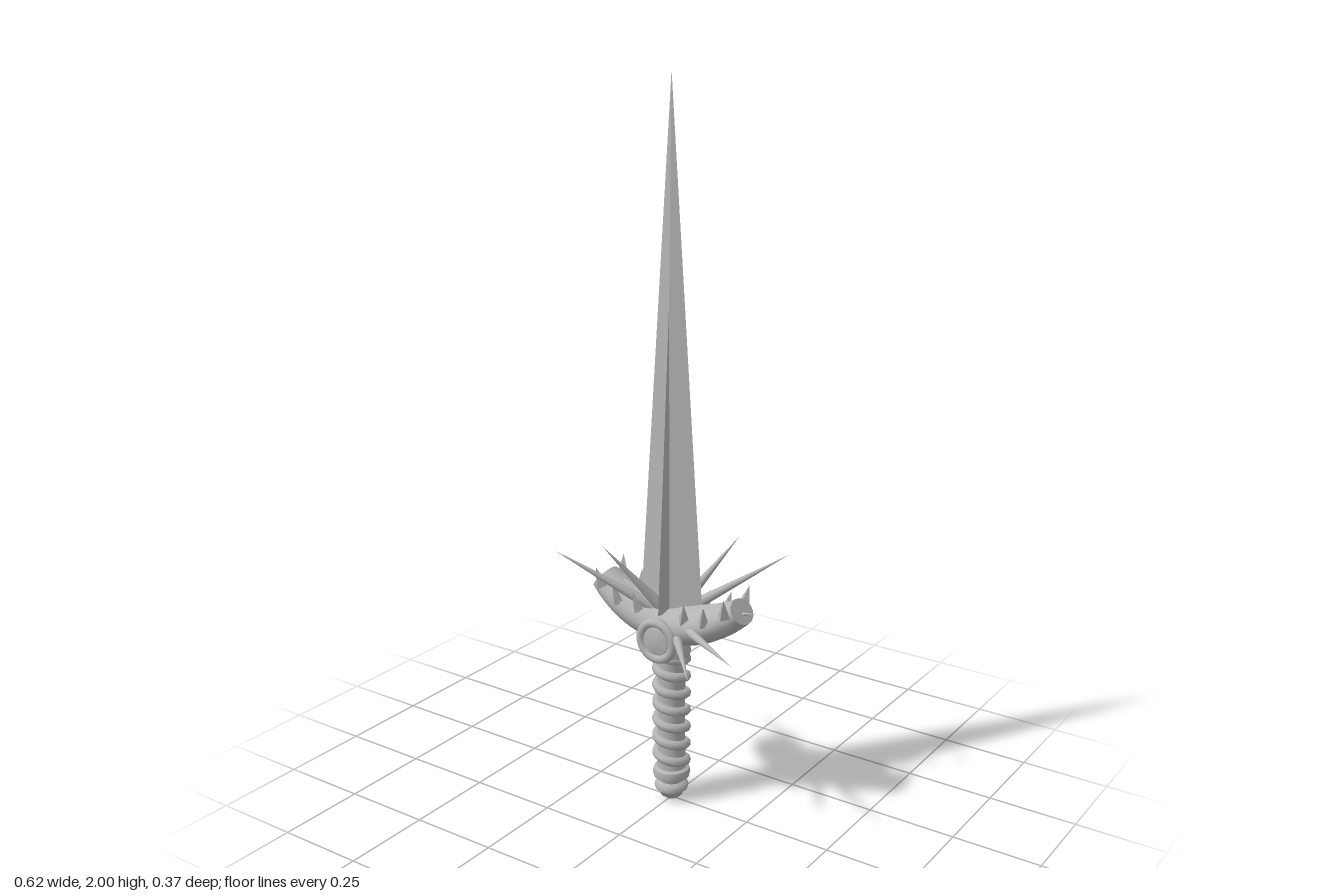
import * as THREE from 'three';
import { toCreasedNormals } from 'three/addons/utils/BufferGeometryUtils.js';

const steel = new THREE.MeshStandardMaterial({ color: 0xb4b4b4 });
steel.name = 'steel';
const V = (x, y, z) => new THREE.Vector3(x, y, z);

function add(parent, name, geometry) {
  const mesh = new THREE.Mesh(geometry, steel);
  mesh.name = name;
  parent.add(mesh);
  return mesh;
}

// Cone running from a base point to a tip
function spike(parent, name, base, tip, radius, sides, crease) {
  const dir = tip.clone().sub(base);
  const cone = new THREE.ConeGeometry(radius, dir.length(), sides);
  const mesh = add(parent, name, toCreasedNormals(cone, crease));
  mesh.position.copy(base).add(tip).multiplyScalar(0.5);
  mesh.quaternion.setFromUnitVectors(V(0, 1, 0), dir.normalize());
}

// Four-sided tapering blade with a diamond section
function diamondBlade(parent, name, halfX, halfZ, y0, y1) {
  const geo = new THREE.ConeGeometry(1, y1 - y0, 4);
  geo.scale(halfX, 1, halfZ);
  geo.translate(0, (y0 + y1) / 2, 0);
  add(parent, name, toCreasedNormals(geo, 0.02));
}

// Curve of the guard: height at x
const CURVE = 0.085 / (0.225 * 0.225);
const guardY = x => 0.535 + CURVE * x * x;

// Elliptical section swept along the guard curve, closed at both ends
function sweepGuard(reach, lift, halfHeight, halfDepth, sides) {
  const steps = 24, pos = [], index = [];
  const us = [-1, -1];
  for (let i = 0; i <= steps; i++) us.push(-1 + 2 * i / steps);
  us.push(1, 1);
  us.forEach((u, i) => {
    const x = u * reach, slope = 2 * CURVE * x, len = Math.hypot(1, slope);
    const k = i === 0 || i === us.length - 1 ? 0 : 1;
    for (let j = 0; j < sides; j++) {
      const a = j / sides * Math.PI * 2;
      const h = lift(Math.abs(u)) + k * halfHeight(Math.abs(u)) * Math.cos(a);
      pos.push(x - slope / len * h, guardY(x) + h / len, k * halfDepth(Math.abs(u)) * Math.sin(a));
    }
  });
  for (let i = 0; i < us.length - 1; i++) {
    for (let j = 0; j < sides; j++) {
      const a = i * sides + j, b = i * sides + (j + 1) % sides;
      index.push(a, b, a + sides, b, b + sides, a + sides);
    }
  }
  const geo = new THREE.BufferGeometry();
  geo.setAttribute('position', new THREE.Float32BufferAttribute(pos, 3));
  geo.setIndex(index);
  return toCreasedNormals(geo, 0.8);
}

// Spiral path of the grip wrap
class Helix extends THREE.Curve {
  getPoint(t, target = new THREE.Vector3()) {
    const a = t * Math.PI * 2 * 6.5;
    return target.set(0.041 * Math.sin(a), 0.445 - 0.335 * t, 0.041 * Math.cos(a));
  }
}

export function createModel() {
  const root = new THREE.Group();
  root.name = 'sword';

  // Blade: broad diamond crossed by a shorter ridge
  const blade = new THREE.Group();
  blade.name = 'blade';
  root.add(blade);
  diamondBlade(blade, 'broadBlade', 0.101, 0.028, 0.575, 2);
  diamondBlade(blade, 'crossRidge', 0.018, 0.064, 0.575, 1.6);

  // Crescent guard with a raised bar along its top
  const guard = new THREE.Group();
  guard.name = 'guard';
  root.add(guard);
  add(guard, 'crescent', sweepGuard(0.225, () => 0,
    u => 0.055 - 0.018 * u * u, u => 0.073 - 0.027 * u ** 3, 16));
  add(guard, 'topBar', sweepGuard(0.18, u => 0.05 - 0.016 * u * u,
    () => 0.012, u => 0.026 - 0.016 * u, 8));

  // Teeth on both rims and a needle at each end
  for (const sx of [-1, 1]) {
    spike(guard, 'endNeedle', V(sx * 0.215, 0.61, 0), V(sx * 0.265, 0.622, 0), 0.007, 6, 0.8);
    for (const sz of [-1, 1]) {
      for (const [x, z] of [[0.2, 0.049], [0.14, 0.054], [0.075, 0.05]]) {
        const y = guardY(x) + 0.012 + (x < 0.1 ? 0.015 : 0);
        spike(guard, 'tooth', V(sx * x, y, sz * z),
          V(sx * (x + 0.008), y + 0.056, sz * (z + 0.016)), 0.019, 4, 0.1);
      }
    }
  }

  // Long thorns, repeated with a half turn
  const thorns = new THREE.Group();
  thorns.name = 'thorns';
  root.add(thorns);
  const tips = [[0.31, 0.555, 0.187], [0.27, 0.738, -0.166], [0.13, 0.77, -0.136], [0.18, 0.475, 0.187]];
  for (const s of [-1, 1]) {
    for (const [x, y, z] of tips) {
      spike(thorns, 'thorn', V(0, 0.55, 0), V(s * x, y, s * z), 0.02, 10, 0.8);
    }
  }

  // Round medallions on front and back
  for (const s of [1, -1]) {
    const medallion = new THREE.Group();
    medallion.name = s > 0 ? 'frontMedallion' : 'backMedallion';
    medallion.position.y = 0.505;
    medallion.rotation.y = s > 0 ? 0 : Math.PI;
    const rim = add(medallion, 'rim', new THREE.TorusGeometry(0.052, 0.013, 10, 28));
    rim.position.z = 0.071;
    const profile = [[0.054, 0.045], [0.054, 0.069], [0.042, 0.07], [0.039, 0.078], [0.02, 0.083], [0, 0.084]];
    const disc = add(medallion, 'disc', toCreasedNormals(
      new THREE.LatheGeometry(profile.map(p => new THREE.Vector2(...p)), 28), 0.6));
    disc.rotation.x = Math.PI / 2;
    root.add(medallion);
  }

  // Handle: core, spiral wrap and pommel
  const handle = new THREE.Group();
  handle.name = 'handle';
  root.add(handle);
  const core = [[0, 0], [0.018, 0.002], [0.031, 0.012], [0.036, 0.026], [0.046, 0.032], [0.048, 0.042],
    [0.043, 0.051], [0.034, 0.056], [0.036, 0.064], [0.05, 0.07], [0.053, 0.082], [0.05, 0.095],
    [0.041, 0.1], [0.038, 0.2], [0.038, 0.43], [0.05, 0.438], [0.054, 0.452], [0.05, 0.47], [0.045, 0.5]];
  add(handle, 'gripAndPommel', toCreasedNormals(
    new THREE.LatheGeometry(core.map(p => new THREE.Vector2(...p)), 20), 0.8));
  add(handle, 'wrap', new THREE.TubeGeometry(new Helix(), 156, 0.0135, 8));

  return root;
}
